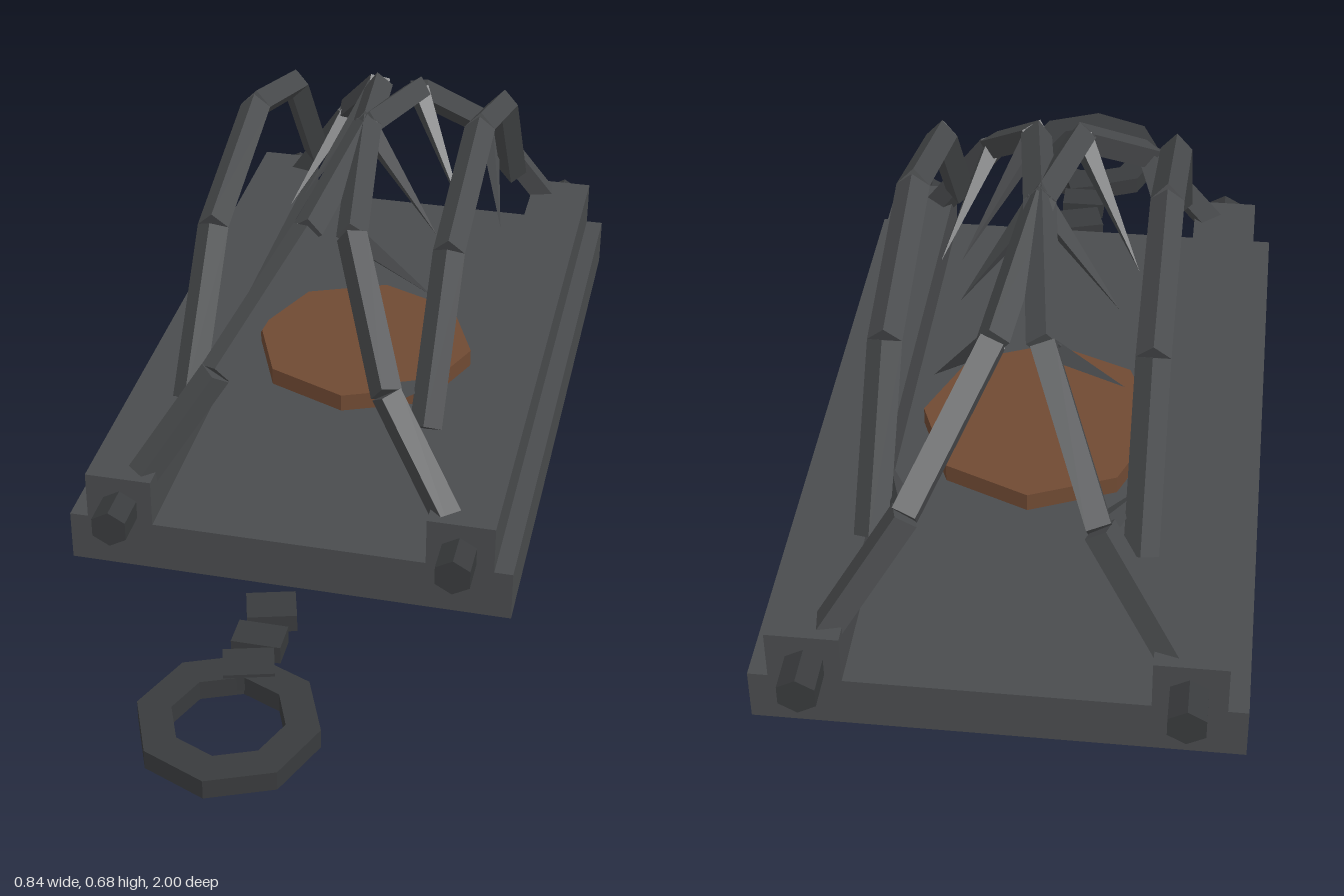
import * as THREE from 'three';

const mat = (color) => new THREE.MeshStandardMaterial({ color, flatShading: true });
const iron = mat(0x4a4c4e), darkIron = mat(0x393b3d), rust = mat(0x704a33);
const MID_Z = -0.255, HINGE_Y = 0.13, HINGE_X = 0.32;

export function createModel() {
  const model = new THREE.Group();

  const add = (parent, name, geometry, material, x = 0, y = 0, z = 0) => {
    const mesh = new THREE.Mesh(geometry, material);
    mesh.name = name;
    mesh.position.set(x, y, z);
    parent.add(mesh);
    return mesh;
  };

  // Four-sided bar (or spike, when topRadius is 0) running from a to b
  const bar = (parent, name, a, b, radius, topRadius = radius) => {
    const dir = b.clone().sub(a);
    const mesh = add(parent, name, new THREE.CylinderGeometry(topRadius, radius, dir.length(), 4), iron);
    mesh.position.copy(a).add(b).multiplyScalar(0.5);
    mesh.quaternion.setFromUnitVectors(new THREE.Vector3(0, 1, 0), dir.normalize());
  };

  // Chain of straight bars through a list of points
  const bars = (parent, name, points) => {
    for (let i = 1; i < points.length; i++) bar(parent, name, points[i - 1], points[i], 0.03);
  };

  // Base plate and pressure plate
  add(model, 'basePlate', new THREE.BoxGeometry(0.84, 0.1, 1.35), iron, 0, 0.05, MID_Z);
  add(model, 'pressurePlate', new THREE.CylinderGeometry(0.225, 0.225, 0.037, 8), rust, 0, 0.1175, MID_Z);

  for (const side of [-1, 1]) {
    // Side rail with its hexagonal hinge rod
    add(model, 'rail', new THREE.BoxGeometry(0.126, 0.097, 1.35), iron, side * 0.322, 0.1465, MID_Z);
    const rod = new THREE.CylinderGeometry(0.037, 0.037, 1.49, 6).rotateX(Math.PI / 2);
    add(model, 'hingeRod', rod, darkIron, side * HINGE_X, HINGE_Y, MID_Z);

    // Leaning jaw: half ellipse in six straight pieces
    const jaw = new THREE.Group();
    jaw.name = 'jaw';
    model.add(jaw);
    const pivot = new THREE.Vector3(side * HINGE_X, HINGE_Y, MID_Z);
    const joints = [];
    for (let i = 0; i <= 6; i++) {
      const a = (i * Math.PI) / 6, s = Math.sin(a);
      joints.push(new THREE.Vector3(
        side * HINGE_X * (1 - s), HINGE_Y + 0.5 * s, MID_Z + 0.65 * Math.cos(a)));
    }
    bars(jaw, 'jawBar', joints);

    // Teeth point from the joints towards the pivot
    for (const joint of joints.slice(1, 6)) {
      bar(jaw, 'tooth', joint, joint.clone().lerp(pivot, 0.46), 0.025, 0);
    }

    // Upright spring arch in four pieces
    const arch = [];
    for (let i = 0; i <= 4; i++) {
      const a = Math.PI * (0.1 + 0.2 * i);
      arch.push(new THREE.Vector3(
        side * 0.226, HINGE_Y + 0.52 * Math.sin(a), MID_Z + 0.55 * Math.cos(a)));
    }
    bars(model, 'springBar', arch);
  }

  // Chain links
  [[0.54, 0.28, 0.07], [0.624, 0, 0.06], [0.7, 0.28, 0.07]].forEach(([z, turn, depth]) => {
    const link = add(model, 'chainLink', new THREE.BoxGeometry(0.09, 0.035, depth), darkIron, 0, 0.035, z);
    link.rotation.y = turn;
  });

  // Flat eight-sided anchor ring
  const octagon = (r) => Array.from({ length: 8 }, (_, i) =>
    new THREE.Vector2(r * Math.cos(i * Math.PI / 4), r * Math.sin(i * Math.PI / 4)));
  const ringShape = new THREE.Shape(octagon(0.161));
  ringShape.holes.push(new THREE.Path(octagon(0.1)));
  const ring = new THREE.ExtrudeGeometry(ringShape, { depth: 0.038, bevelEnabled: false });
  add(model, 'anchorRing', ring.rotateX(-Math.PI / 2), darkIron, 0, 0.008, 0.835);

  return model;
}
